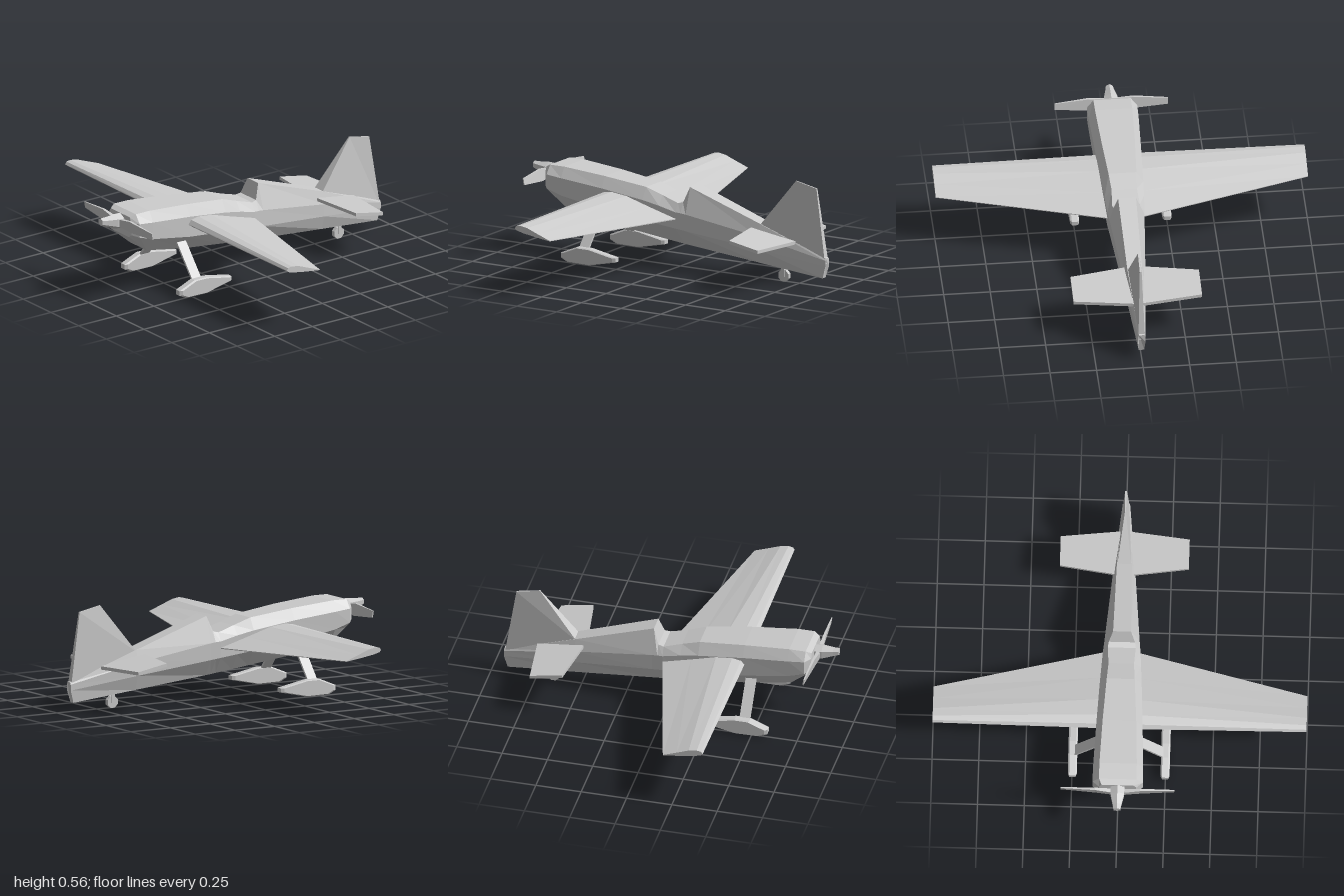
import * as THREE from 'three';

const material = new THREE.MeshStandardMaterial({ color: 0xcccccc, flatShading: true });

function add(parent, name, geometry) {
  const mesh = new THREE.Mesh(geometry, material);
  mesh.name = name;
  parent.add(mesh);
  return mesh;
}

// Closed skin over rings of [x, y, z] points, capped at both ends, facing outward
function loft(rings) {
  const n = rings[0].length, pos = rings.flat(2), index = [];
  for (let r = 0; r < rings.length - 1; r++) {
    for (let i = 0; i < n; i++) {
      const a = r * n + i, b = r * n + (i + 1) % n;
      index.push(a, b, b + n, a, b + n, a + n);
    }
  }
  const last = (rings.length - 1) * n;
  for (let i = 1; i < n - 1; i++) {
    index.push(0, i + 1, i, last, last + i, last + i + 1);
  }
  // Signed volume tells whether the skin is inside out
  const p = (i) => new THREE.Vector3().fromArray(pos, i * 3);
  let volume = 0;
  for (let i = 0; i < index.length; i += 3) {
    volume += p(index[i]).dot(p(index[i + 1]).cross(p(index[i + 2])));
  }
  if (volume < 0) index.reverse();
  const geometry = new THREE.BufferGeometry();
  geometry.setAttribute('position', new THREE.Float32BufferAttribute(pos, 3));
  geometry.setIndex(index);
  geometry.computeVertexNormals();
  return geometry;
}

// Eight-sided body section: half widths and heights of deck, shoulder, chine and belly
function bodyRing([z, wt, yt, ws, ys, wc, yc, wb, yb], bottomShift = 0) {
  const half = [[wt, yt, z], [ws, ys, z], [wc, yc, z], [wb, yb, z + bottomShift]];
  const mirrored = half.map(([x, y, zz]) => [-x, y, zz]).reverse();
  return [...half, ...mirrored];
}

// Rectangle of corners for thin four-sided sections at a given x
function slab(x, zFront, yFront, zBack, yBack, t) {
  return [[x, yFront + t, zFront], [x, yBack + t, zBack], [x, yBack - t, zBack], [x, yFront - t, zFront]];
}

export function createModel() {
  const plane = new THREE.Group();
  plane.name = 'aeroplane';

  // Fuselage with nose chamfer, cockpit dip and raised rear deck
  const sections = [
    [0.79, 0.085, 0.468, 0.1, 0.44, 0.1, 0.37, 0.08, 0.353],
    [0.76, 0.1, 0.483, 0.135, 0.436, 0.135, 0.36, 0.09, 0.328],
    [0.67, 0.1, 0.483, 0.134, 0.426, 0.131, 0.33, 0.075, 0.25],
    [0.42, 0.09, 0.461, 0.124, 0.4, 0.122, 0.285, 0.06, 0.2],
    [0.17, 0.075, 0.43, 0.112, 0.365, 0.11, 0.255, 0.05, 0.167],
    [0.07, 0.068, 0.396, 0.106, 0.345, 0.105, 0.243, 0.047, 0.154],
    [-0.03, 0.075, 0.366, 0.1, 0.32, 0.1, 0.231, 0.044, 0.142],
    [-0.06, 0.07, 0.372, 0.097, 0.318, 0.097, 0.227, 0.043, 0.138],
    [-0.09, 0.048, 0.456, 0.094, 0.314, 0.094, 0.223, 0.042, 0.135],
    [-0.525, 0.04, 0.308, 0.058, 0.24, 0.057, 0.17, 0.03, 0.09],
  ].map((s) => bodyRing(s));
  sections.push(bodyRing([-0.925, 0.014, 0.162, 0.02, 0.15, 0.02, 0.118, 0.015, 0.05], 0.02));
  add(plane, 'fuselage', loft(sections));

  // Fin growing out of the rear deck
  const finRing = (y0, z0, w0, y1, z1, w1) => [[w0, y0, z0], [-w0, y0, z0], [-w1, y1, z1], [w1, y1, z1]];
  add(plane, 'tailFin', loft([
    finRing(0.295, -0.52, 0.038, 0.13, -0.922, 0.018),
    finRing(0.562, -0.73, 0.003, 0.535, -0.86, 0.005),
  ]));

  // Wing section: fraction of chord behind the leading edge, height above it
  const aerofoil = [
    [0, 0], [0.04, 0.022], [0.15, 0.03], [0.35, 0.018], [0.65, -0.025], [1, -0.073],
    [1, -0.078], [0.55, -0.055], [0.22, -0.035], [0.05, -0.018],
  ];
  const wingRing = (x, front, chord, thickness) =>
    aerofoil.map(([t, h]) => [x, 0.358 + h * thickness, front - t * chord]);

  // Wheel spat side profile as [z, y]
  const spatProfile = [
    [0.59, 0.055], [0.49, 0.096], [0.41, 0.096], [0.245, 0.065],
    [0.245, 0.042], [0.41, 0.006], [0.55, 0.008], [0.59, 0.028],
  ];
  const spatRing = (x, scale) => spatProfile.map(([z, y]) =>
    [x, 0.05 + (y - 0.05) * scale, 0.42 + (z - 0.42) * scale]);

  for (const [side, s] of [['left', 1], ['right', -1]]) {
    add(plane, side + 'Wing', loft([
      wingRing(s * 0.03, 0.428, 0.475, 1),
      wingRing(s * 0.1, 0.428, 0.458, 1),
      wingRing(s, 0.42, 0.22, 0.58),
    ]));

    add(plane, side + 'Tailplane', loft([
      slab(0, -0.465, 0.278, -0.745, 0.226, 0.009),
      slab(s * 0.04, -0.475, 0.276, -0.737, 0.227, 0.009),
      slab(s * 0.345, -0.522, 0.267, -0.7, 0.234, 0.009),
    ]));

    // Undercarriage leg and spat
    const legRing = (x, y) => [
      [s * x, y, 0.488], [s * x, y, 0.43], [s * (x + 0.012), y + 0.004, 0.43], [s * (x + 0.012), y + 0.004, 0.488],
    ];
    add(plane, side + 'GearLeg', loft([legRing(0.09, 0.258), legRing(0.112, 0.232), legRing(0.235, 0.08)]));
    add(plane, side + 'WheelSpat', loft([
      spatRing(s * 0.224, 0.9), spatRing(s * 0.232, 1), spatRing(s * 0.264, 1), spatRing(s * 0.272, 0.9),
    ]));

    // Propeller blade, pitched and tapered: x, half height, front and rear z
    const bladeRing = (x, h, zTop, zBottom, t) => [
      [s * x, 0.425 + h, zTop + t], [s * x, 0.425 + h, zTop - t],
      [s * x, 0.425 - h, zBottom - t], [s * x, 0.425 - h, zBottom + t],
    ];
    add(plane, side + 'PropellerBlade', loft([
      bladeRing(0.015, 0.018, 0.812, 0.812, 0.012),
      bladeRing(0.06, 0.025, 0.812, 0.806, 0.01),
      bladeRing(0.12, 0.033, 0.81, 0.8, 0.007),
      bladeRing(0.305, 0.018, 0.802, 0.796, 0.003),
    ]));
  }

  // Six-sided spinner
  const spinnerRing = (z, y, r) => Array.from({ length: 6 }, (_, i) => {
    const a = i * Math.PI / 3 + Math.PI / 6;
    return [r * Math.cos(a), y + r * Math.sin(a), z];
  });
  add(plane, 'spinner', loft([
    spinnerRing(0.775, 0.424, 0.044), spinnerRing(0.83, 0.428, 0.042),
    spinnerRing(0.89, 0.438, 0.027), spinnerRing(0.92, 0.444, 0.021),
  ]));

  // Tail wheel and its strut
  const wheel = add(plane, 'tailWheel', new THREE.CylinderGeometry(0.034, 0.034, 0.022, 8));
  wheel.rotation.set(Math.PI / 8, 0, Math.PI / 2, 'XYZ');
  wheel.position.set(0, 0.033, -0.655);
  for (const s of [1, -1]) {
    const fork = add(plane, s > 0 ? 'leftTailFork' : 'rightTailFork', new THREE.BoxGeometry(0.006, 0.055, 0.018));
    fork.position.set(s * 0.016, 0.056, -0.655);
  }
  return plane;
}
